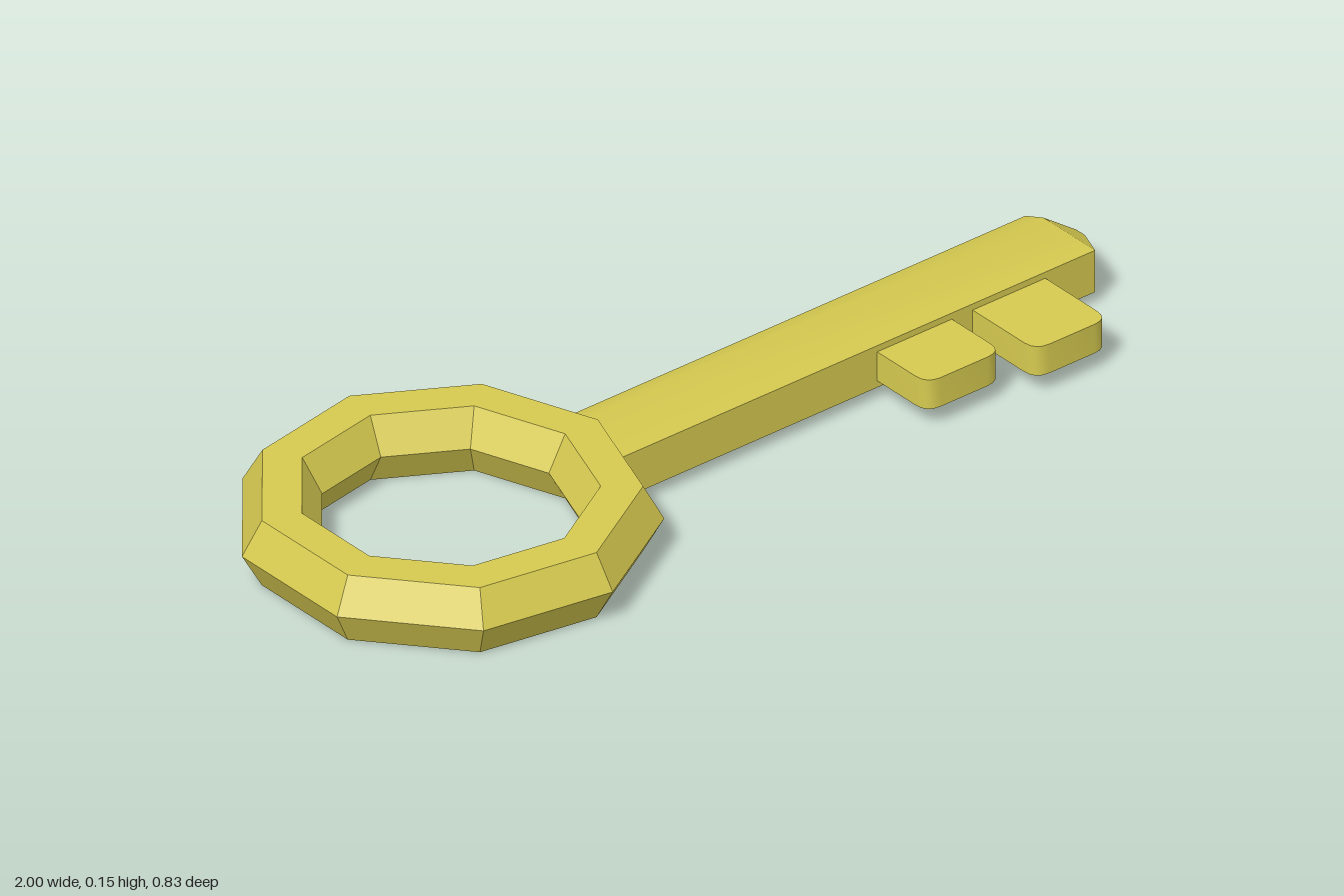
import * as THREE from 'three';
import { toCreasedNormals } from 'three/addons/utils/BufferGeometryUtils.js';

const MID = 0.0735; // height of the key's middle plane

export function createModel() {
  const key = new THREE.Group();
  key.name = 'key';
  const gold = new THREE.MeshStandardMaterial({ color: 0xd6ca50 });

  const add = (name, geometry) => {
    const mesh = new THREE.Mesh(toCreasedNormals(geometry, 0.55), gold);
    mesh.name = name;
    key.add(mesh);
  };

  // Bow: nine-sided ring with a hexagonal section
  const bow = new THREE.TorusGeometry(0.339, 0.082, 6, 9);
  bow.rotateX(-Math.PI / 2);
  bow.scale(1, 1.035, 1);
  bow.translate(-0.605, MID, 0);
  add('bow', bow);

  // Shaft: square on the tooth side, chamfered on the back, tapered tip
  const section = [[0.106, 0.122], [0.106, 0.027], [-0.05, 0.027],
    [-0.105, 0.05], [-0.105, 0.1], [-0.05, 0.122]];
  const n = section.length;
  const stations = [[-0.25, 1], [0.938, 1], [1, 0.16]]; // x, scale of section
  const positions = [];
  const indices = [];
  for (const [x, s] of stations) {
    for (const [z, y] of section) {
      positions.push(x, 0.0745 + s * (y - 0.0745), -0.02 + s * (z + 0.02));
    }
  }
  for (let k = 0; k < stations.length - 1; k++) {
    for (let i = 0; i < n; i++) {
      const a = k * n + i;
      const b = k * n + (i + 1) % n;
      indices.push(a, b, b + n, a, b + n, a + n);
    }
  }
  const last = (stations.length - 1) * n;
  for (let i = 1; i < n - 1; i++) {
    indices.push(0, i + 1, i, last, last + i, last + i + 1);
  }
  const shaft = new THREE.BufferGeometry();
  shaft.setAttribute('position', new THREE.Float32BufferAttribute(positions, 3));
  shaft.setIndex(indices);
  add('shaft', shaft);

  // Teeth: flat tabs with rounded outer corners
  const tooth = (name, x0, x1, reach) => {
    const r = 0.035;
    const shape = new THREE.Shape();
    shape.moveTo(x0, -0.08);
    shape.lineTo(x0, -reach + r);
    shape.quadraticCurveTo(x0, -reach, x0 + r, -reach);
    shape.lineTo(x1 - r, -reach);
    shape.quadraticCurveTo(x1, -reach, x1, -reach + r);
    shape.lineTo(x1, -0.08);
    shape.closePath();
    const geometry = new THREE.ExtrudeGeometry(shape, { depth: 0.066, bevelEnabled: false, curveSegments: 4 });
    geometry.rotateX(-Math.PI / 2);
    geometry.translate(0, 0.042, 0);
    add(name, geometry);
  };
  tooth('innerTooth', 0.39, 0.578, 0.257);
  tooth('outerTooth', 0.63, 0.813, 0.297);

  return key;
}
